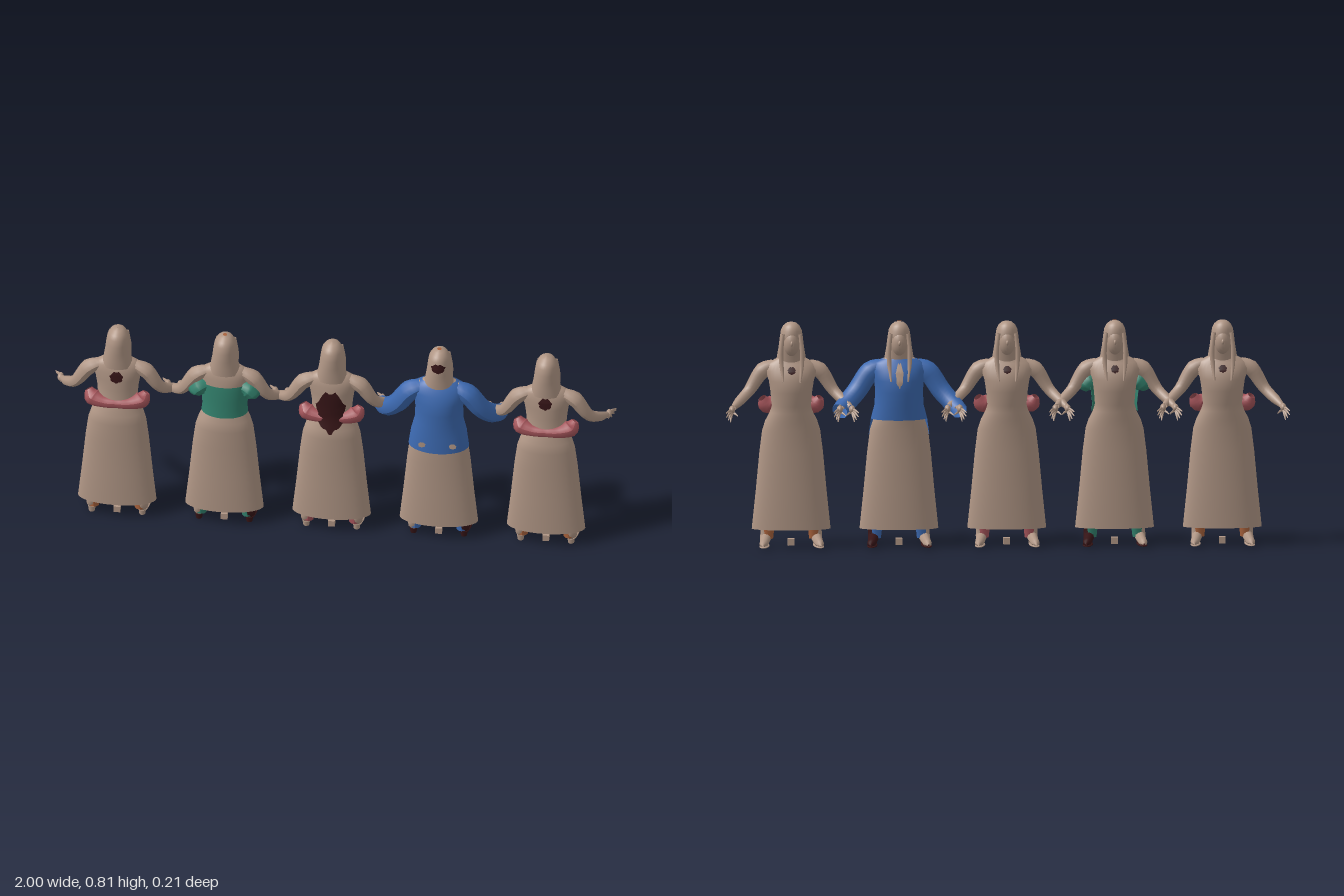
import * as THREE from 'three';
import { mergeVertices } from 'three/addons/utils/BufferGeometryUtils.js';

const mat = (name, color) => {
  const m = new THREE.MeshStandardMaterial({ color, side: THREE.DoubleSide });
  m.name = name;
  return m;
};

// Cross-sections: [y, half width, z of the back (+z), z of the chest side (-z)]
const BODY = [
  [0.065, 0.14, 0.095, -0.01], [0.2, 0.126, 0.093, -0.01], [0.34, 0.113, 0.092, -0.012],
  [0.42, 0.103, 0.095, -0.015], [0.455, 0.092, 0.09, -0.019], [0.485, 0.077, 0.081, -0.021],
  [0.51, 0.07, 0.075, -0.023], [0.56, 0.074, 0.073, -0.032], [0.6, 0.08, 0.073, -0.033],
  [0.635, 0.092, 0.071, -0.022], [0.66, 0.085, 0.064, -0.006], [0.675, 0.06, 0.058, 0],
  [0.69, 0.03, 0.052, 0.003], [0.72, 0.026, 0.046, 0.003],
];
const HAIR = [
  [0.655, 0.056, 0.072, -0.002], [0.69, 0.05, 0.073, -0.006], [0.72, 0.045, 0.074, -0.015],
  [0.755, 0.041, 0.075, -0.023], [0.78, 0.037, 0.07, -0.021], [0.796, 0.029, 0.061, -0.012],
  [0.806, 0.017, 0.046, 0.003], [0.81, 0.001, 0.027, 0.025],
];
const JACKET = [
  [0.4, 0.108, 0.106, -0.024], [0.46, 0.1, 0.103, -0.028], [0.51, 0.087, 0.1, -0.033],
  [0.56, 0.085, 0.1, -0.039], [0.6, 0.088, 0.098, -0.039], [0.635, 0.097, 0.086, -0.028],
  [0.662, 0.088, 0.072, -0.012], [0.677, 0.06, 0.06, -0.004],
];
const BODICE = [
  [0.482, 0.083, 0.089, -0.024], [0.51, 0.08, 0.086, -0.026], [0.55, 0.084, 0.084, -0.034],
  [0.59, 0.088, 0.081, -0.034], [0.61, 0.09, 0.078, -0.03],
];

// Skin through elliptical sections, from angle a0 to a1 (0 points to +z)
function loft(sections, a0 = 0, a1 = Math.PI * 2, n = 36) {
  const pos = [], idx = [];
  for (const [y, rx, zb, zf] of sections) {
    for (let j = 0; j <= n; j++) {
      const a = a0 + (a1 - a0) * j / n;
      pos.push(rx * Math.sin(a), y, (zb + zf) / 2 + (zb - zf) / 2 * Math.cos(a));
    }
  }
  for (let i = 0; i < sections.length - 1; i++) {
    for (let j = 0; j < n; j++) {
      const p = i * (n + 1) + j, q = p + n + 1;
      idx.push(p, p + 1, q + 1, p, q + 1, q);
    }
  }
  const g = new THREE.BufferGeometry();
  g.setAttribute('position', new THREE.Float32BufferAttribute(pos, 3));
  g.setIndex(idx);
  const merged = mergeVertices(g, 1e-5);
  merged.computeVertexNormals();
  return merged;
}

// Depth of a lofted surface at x, y; side +1 is the back, -1 the chest
function surfaceZ(sections, x, y, side) {
  let i = 0;
  while (i < sections.length - 2 && y > sections[i + 1][0]) i++;
  const s = sections[i], e = sections[i + 1];
  const t = THREE.MathUtils.clamp((y - s[0]) / (e[0] - s[0]), 0, 1);
  const [, rx, zb, zf] = s.map((v, k) => v + (e[k] - v) * t);
  return (zb + zf) / 2 + side * (zb - zf) / 2 * Math.sqrt(Math.max(0, 1 - (x / rx) ** 2));
}

// Ragged flat patch laid onto a lofted surface
function patch(sections, y, rx, ry, side, gap = 0.004) {
  const g = new THREE.RingGeometry(0.0001, 1, 30, 5);
  const p = g.attributes.position;
  for (let i = 0; i < p.count; i++) {
    const a = Math.atan2(p.getY(i), p.getX(i));
    const rag = 0.93 + 0.07 * Math.sin(a * 7) + 0.04 * Math.sin(a * 11);
    const px = p.getX(i) * rx * rag, py = y + p.getY(i) * ry * rag;
    p.setXYZ(i, px, py, surfaceZ(sections, px, py, side) + side * gap);
  }
  g.computeVertexNormals();
  return g;
}

// Tapered tube through points, with one radius for each point
function limb(points, radii, seg = 16, sides = 10) {
  const curve = new THREE.CatmullRomCurve3(points.map(p => new THREE.Vector3(...p)));
  const g = new THREE.TubeGeometry(curve, seg, 1, sides);
  const p = g.attributes.position, v = new THREE.Vector3();
  for (let i = 0; i < p.count; i++) {
    const u = Math.floor(i / (sides + 1)) / seg;
    const f = curve.getUtoTmapping(u) * (radii.length - 1);
    const k = Math.min(Math.floor(f), radii.length - 2);
    const r = radii[k] + (radii[k + 1] - radii[k]) * (f - k);
    const c = curve.getPointAt(u);
    v.fromBufferAttribute(p, i).sub(c).multiplyScalar(r).add(c);
    p.setXYZ(i, v.x, v.y, v.z);
  }
  g.computeVertexNormals();
  return g;
}

const ball = (x, y, z, rx, ry, rz) =>
  new THREE.SphereGeometry(1, 20, 14).scale(rx, ry, rz).translate(x, y, z);

export function createModel() {
  const tan = mat('tan cloth and skin', 0xb09685);
  const red = mat('dusty red', 0xa4545a);
  const teal = mat('teal', 0x32806c);
  const blue = mat('blue', 0x3c69b0);
  const dark = mat('dark brown', 0x351416);
  const rust = mat('rust', 0xa8623c);

  const model = new THREE.Group();
  model.name = 'rowOfFigures';

  const outfits = [
    { x: -0.765, legs: rust, sash: true, spot: [BODY, 0.622, 0.025, 0.025] },
    { x: -0.3825, legs: teal, bodice: true, darkShoes: true },
    { x: 0, legs: red, sash: true, spot: [BODY, 0.542, 0.054, 0.09] },
    { x: 0.3825, legs: blue, jacket: true, darkShoes: true, spot: [HAIR, 0.758, 0.026, 0.02] },
    { x: 0.765, legs: rust, sash: true, spot: [BODY, 0.63, 0.025, 0.025] },
  ];

  outfits.forEach((o, n) => {
    const fig = new THREE.Group();
    fig.name = 'figure' + (n + 1);
    fig.position.x = o.x;
    model.add(fig);
    const add = (name, geo, material) => {
      const m = new THREE.Mesh(geo, material);
      m.name = name;
      fig.add(m);
      return m;
    };

    // Body, head and hair
    add('dressAndTorso', loft(BODY), tan);
    add('hair', loft(HAIR), tan);
    add('face', ball(0, 0.737, 0.008, 0.031, 0.05, 0.038), tan);
    add('nose', ball(0, 0.738, -0.03, 0.005, 0.009, 0.007), tan);

    for (const s of [-1, 1]) {
      const side = s > 0 ? 'left' : 'right';
      const flip = pts => pts.map(([x, y, z]) => [x * s, y, z]);

      // Arm and spread hand
      add(side + 'Arm', limb(flip([[0.06, 0.655, 0.032], [0.1, 0.635, 0.035], [0.15, 0.562, 0.028],
        [0.185, 0.53, -0.008], [0.208, 0.512, -0.045]]), [0.02, 0.029, 0.021, 0.018, 0.01]), tan);
      add(side + 'Palm', ball(s * 0.213, 0.507, -0.058, 0.011, 0.014, 0.019), tan);
      [[0.235, 0.5, -0.098], [0.234, 0.487, -0.105], [0.227, 0.476, -0.1], [0.22, 0.467, -0.09],
        [0.193, 0.487, -0.075]].forEach((tip, i) => {
        const root = [0.213, 0.508 - i * 0.003, i < 4 ? -0.064 : -0.05];
        const mid = root.map((v, k) => (v + tip[k]) / 2 + (k === 1 ? 0.002 : 0));
        add(side + 'Finger', limb(flip([root, mid, tip]), [0.005, 0.0045, 0.002], 6, 6), tan);
      });

      // Leg, foot, sole and heel
      const shoe = o.darkShoes && s > 0 ? dark : tan;
      add(side + 'Leg', limb(flip([[0.078, 0.2, 0.045], [0.08, 0.1, 0.046], [0.083, 0.03, 0.048]]),
        [0.03, 0.025, 0.02]), o.legs);
      add(side + 'Foot', limb(flip([[0.088, 0.08, 0.05], [0.09, 0.035, 0.045], [0.094, 0.026, 0.01],
        [0.1, 0.018, -0.025], [0.103, 0.016, -0.05]]), [0.02, 0.02, 0.017, 0.015, 0.003]), shoe);
      const sole = add(side + 'Sole', ball(0, 0.009, 0, 0.018, 0.005, 0.055), o.darkShoes ? dark : tan);
      sole.position.set(s * 0.096, 0, -0.002);
      sole.rotation.y = -s * 0.12;
      add(side + 'Heel', new THREE.CylinderGeometry(0.014, 0.011, 0.022, 12)
        .translate(s * 0.09, 0.013, 0.05), o.darkShoes ? dark : tan);

      // Long locks over the chest
      add(side + 'Lock', limb(flip([[0.03, 0.77, -0.012], [0.037, 0.71, -0.012],
        [0.036, 0.66, -0.014], [0.03, 0.6, -0.035]]), [0.006, 0.008, 0.008, 0.003], 12, 8), tan);

      if (o.bodice) {
        add(side + 'BodicePuff', limb(flip([[0.06, 0.6, 0.045], [0.085, 0.59, 0.045],
          [0.104, 0.57, 0.045], [0.11, 0.555, 0.045]]), [0.018, 0.032, 0.03, 0.012]), teal);
      }
      if (o.jacket) {
        add(side + 'Sleeve', limb(flip([[0.06, 0.65, 0.034], [0.1, 0.63, 0.037], [0.15, 0.56, 0.028],
          [0.19, 0.517, -0.003], [0.212, 0.497, -0.04]]), [0.026, 0.037, 0.036, 0.034, 0.03]), blue);
        add(side + 'JacketTear', patch(JACKET, 0.432, 0.014, 0.012, 1)
          .translate(s * 0.055, 0, -0.009), tan);
      }
    }

    // Sash gathered round the back of the waist
    if (o.sash) {
      add('sash', limb([[-0.103, 0.535, 0.035], [-0.088, 0.512, 0.046], [-0.045, 0.503, 0.062],
        [0, 0.503, 0.066], [0.045, 0.503, 0.062], [0.088, 0.512, 0.046], [0.103, 0.535, 0.035]],
      [0.014, 0.033, 0.022, 0.019, 0.022, 0.033, 0.014], 30, 12), red);
    }
    if (o.bodice) add('bodiceBack', loft(BODICE, -Math.PI * 0.55, Math.PI * 0.55), teal);

    // Jacket, cut shorter over the chest
    if (o.jacket) {
      add('jacketBack', loft(JACKET, -Math.PI / 2, Math.PI / 2), blue);
      add('jacketChest', loft(JACKET.slice(1), Math.PI / 2, Math.PI * 1.5), blue);
      add('jacketOpening', patch(JACKET, 0.622, 0.014, 0.045, -1), tan);
    }

    // Dark patches, and a small mark on the crown
    if (o.spot) add('darkPatch', patch(...o.spot, 1, n === 2 ? 0.013 : 0.004), dark);
    if (!o.jacket) add('neckPatch', patch(BODY, 0.64, 0.015, 0.014, -1), dark);
    if (o.darkShoes) {
      add('crownMark', new THREE.CircleGeometry(0.008, 16).rotateX(-Math.PI / 2)
        .translate(0, 0.811, 0.025), rust);
    }

    // Small block standing between the feet
    add('groundBlock', new THREE.BoxGeometry(0.024, 0.024, 0.024).translate(0, 0.016, 0.045), tan);
  });

  return model;
}
